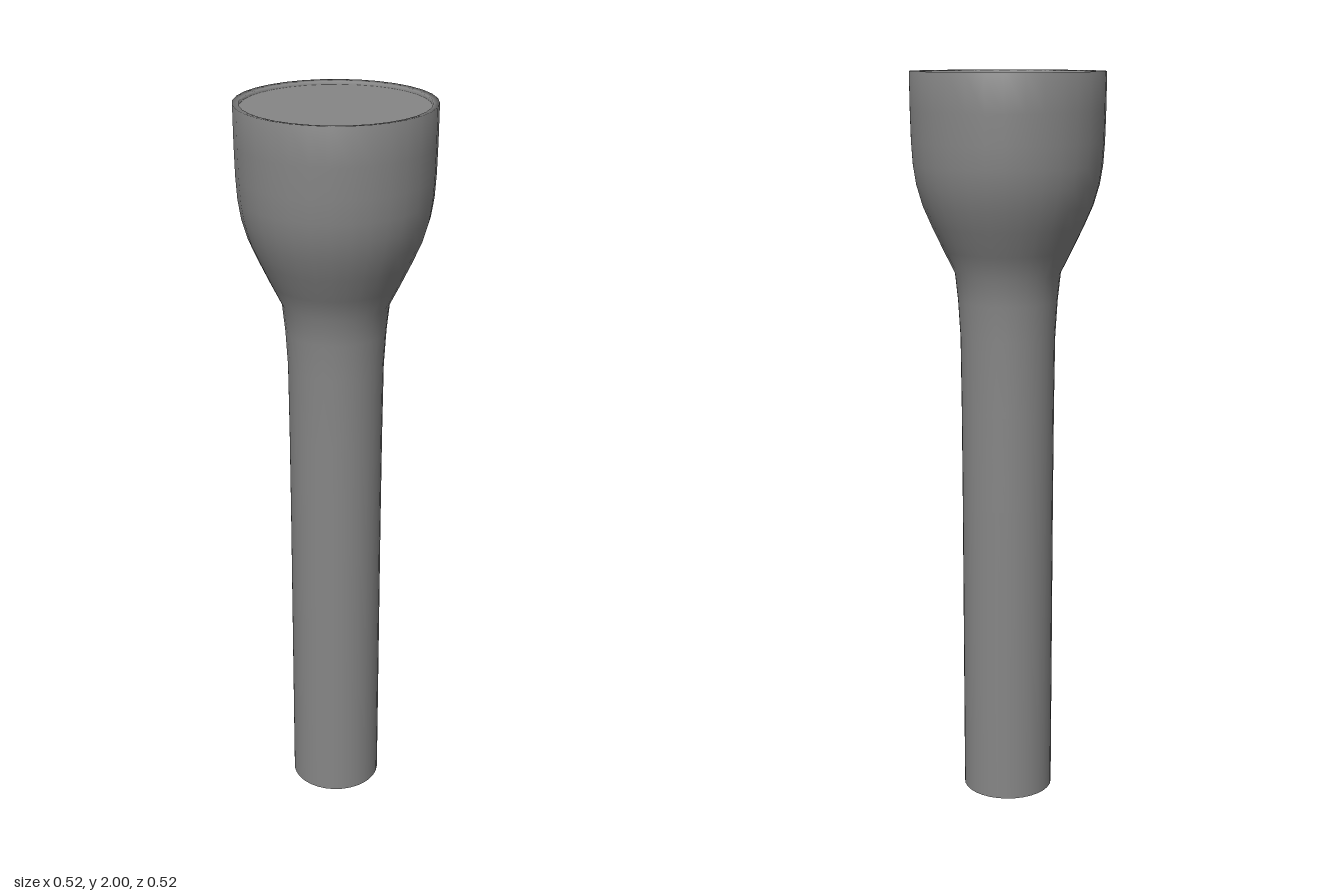
import * as THREE from 'three';

const SIDES = 32;

export function createModel() {
  const model = new THREE.Group();
  const darkGrey = new THREE.MeshStandardMaterial({ color: 0x868686, side: THREE.DoubleSide });

  // One smooth shell: handle open at the bottom, bell-shaped head, rim turned inward
  const profile = [
    [0.124, 0], [0.125, 0.84], [0.126, 1.1], [0.128, 1.3], [0.134, 1.4], [0.142, 1.475],
    [0.172, 1.535], [0.203, 1.6], [0.227, 1.655], [0.243, 1.71],
    [0.251, 1.76], [0.255, 1.82], [0.257, 1.9], [0.258, 2],
    [0.242, 1.998], [0.241, 1.99],
  ].map(([r, y]) => new THREE.Vector2(r, y));
  const body = new THREE.Mesh(new THREE.LatheGeometry(profile, SIDES), darkGrey);
  body.name = 'body';
  model.add(body);

  // Flat lens just below the rim
  const lens = new THREE.Mesh(new THREE.CircleGeometry(0.241, SIDES), darkGrey);
  lens.name = 'lens';
  lens.rotation.x = -Math.PI / 2;
  lens.position.y = 1.99;
  model.add(lens);

  return model;
}
